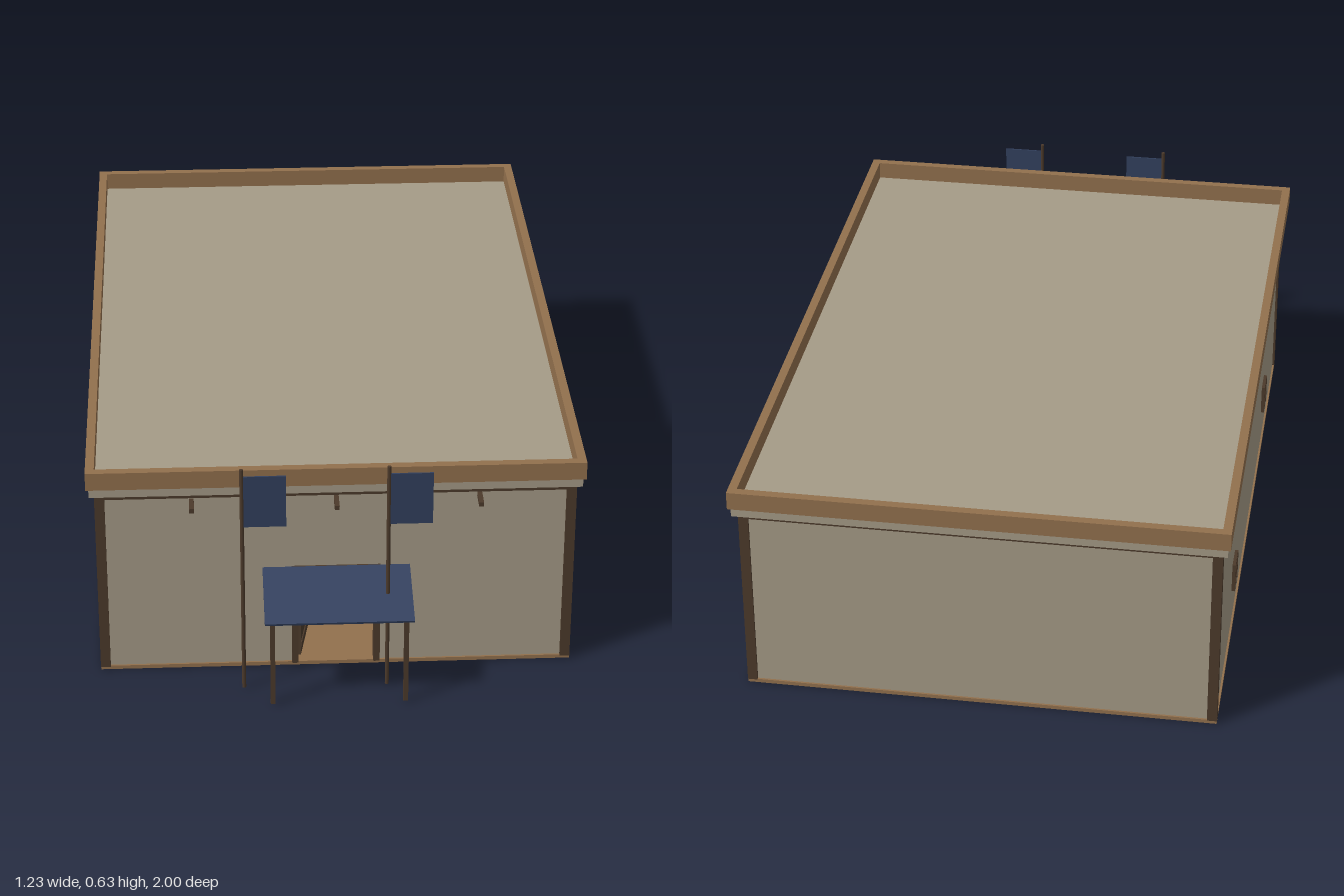
import * as THREE from 'three';

const mat = (name, color) => {
  const m = new THREE.MeshStandardMaterial({ color });
  m.name = name;
  return m;
};

export function createModel() {
  const stone = mat('stone', 0xa59b87);
  const wood = mat('wood', 0x92704d);
  const dark = mat('dark timber', 0x4c3a2b);
  const blue = mat('blue cloth', 0x32405e);

  const root = new THREE.Group();
  root.name = 'hall';

  // Box given by its minimum and maximum corners
  const box = (name, m, x0, x1, y0, y1, z0, z1, parent = root) => {
    const mesh = new THREE.Mesh(new THREE.BoxGeometry(x1 - x0, y1 - y0, z1 - z0), m);
    mesh.position.set((x0 + x1) / 2, (y0 + y1) / 2, (z0 + z1) / 2);
    mesh.name = name;
    parent.add(mesh);
    return mesh;
  };

  // Rectangular ring of four bars, outer half width hx, from z0 to z1
  const ring = (name, m, hx, y0, y1, z0, z1, t) => {
    const g = new THREE.Group();
    g.name = name;
    box(name + 'Front', m, -hx, hx, y0, y1, z1 - t, z1, g);
    box(name + 'Back', m, -hx, hx, y0, y1, z0, z0 + t, g);
    for (const s of [-1, 1]) {
      const c = s * (hx - t / 2);
      box(name + 'Side', m, c - t / 2, c + t / 2, y0, y1, z0 + t, z1 - t, g);
    }
    root.add(g);
  };

  // Floor slab and walls
  box('floorSlab', wood, -0.595, 0.595, 0, 0.01, -0.975, 0.807);
  for (const s of [-1, 1]) {
    box('sideWall', stone, s * 0.58 - 0.01, s * 0.58 + 0.01, 0.01, 0.51, -0.97, 0.802);
  }
  box('backWall', stone, -0.57, 0.57, 0.01, 0.51, -0.97, -0.95);

  // Front wall with the doorway cut out
  const wall = new THREE.Shape([[-0.57, 0.01], [-0.1, 0.01], [-0.1, 0.27], [0.1, 0.27],
    [0.1, 0.01], [0.57, 0.01], [0.57, 0.51], [-0.57, 0.51]].map(p => new THREE.Vector2(...p)));
  const front = new THREE.Mesh(new THREE.ExtrudeGeometry(wall, { depth: 0.02, bevelEnabled: false }), stone);
  front.position.z = 0.782;
  front.name = 'frontWall';
  root.add(front);

  // Corner posts and the trim below the roof
  for (const s of [-1, 1]) {
    for (const z of [0.797, -0.963]) {
      box('cornerPost', dark, s * 0.583 - 0.0125, s * 0.583 + 0.0125, 0.008, 0.51, z - 0.0125, z + 0.0125);
    }
  }
  ring('eavesTrim', dark, 0.595, 0.495, 0.51, -0.976, 0.808, 0.015);

  // Roof slab and parapet
  box('roofSlab', stone, -0.608, 0.608, 0.51, 0.535, -0.992, 0.822);
  ring('parapet', wood, 0.615, 0.535, 0.582, -1, 0.83, 0.022);

  // Side windows with raised bars
  for (const s of [-1, 1]) {
    for (const zc of [0.363, -0.532]) {
      const w = new THREE.Group();
      w.name = 'window';
      box('windowPane', dark, -0.002, 0.002, -0.04, 0.04, -0.036, 0.036, w);
      for (const k of [-1, 0, 1]) {
        box('uprightBar', dark, -0.006, 0.006, -0.04, 0.04, k * 0.032 - 0.004, k * 0.032 + 0.004, w);
        box('crossBar', dark, -0.005, 0.005, k * 0.036 - 0.004, k * 0.036 + 0.004, -0.036, 0.036, w);
      }
      w.position.set(s * 0.593, 0.16, zc);
      root.add(w);
    }
  }

  // Door frame and inward-opened door
  for (const s of [-1, 1]) {
    box('doorJamb', dark, s * 0.103 - 0.008, s * 0.103 + 0.008, 0.01, 0.29, 0.78, 0.815);
  }
  box('doorHeader', dark, -0.095, 0.095, 0.265, 0.29, 0.78, 0.815);
  const door = new THREE.Group();
  door.name = 'door';
  box('doorLeaf', dark, 0, 0.175, 0.015, 0.262, -0.004, 0.004, door);
  for (const y of [0.04, 0.22]) box('doorBrace', dark, 0, 0.17, y, y + 0.014, -0.007, 0.007, door);
  door.position.set(-0.092, 0, 0.785);
  door.rotation.y = 1.4;
  root.add(door);

  // Sloped canopy on two posts
  const slope = Math.atan2(0.05, 0.187);
  const canopy = new THREE.Mesh(new THREE.BoxGeometry(0.368, 0.006, 0.193), blue);
  canopy.position.set(0, 0.267, 0.906);
  canopy.rotation.x = slope;
  canopy.name = 'canopy';
  root.add(canopy);
  for (const s of [-1, 1]) {
    box('canopyPost', dark, s * 0.165 - 0.006, s * 0.165 + 0.006, 0.003, 0.243, 0.976, 0.988);
  }

  // Banner poles with hanging cloth
  for (const x of [-0.235, 0.123]) {
    const pole = new THREE.Mesh(new THREE.CylinderGeometry(0.005, 0.005, 0.625, 8), dark);
    pole.position.set(x, 0.3155, 0.907);
    pole.name = 'bannerPole';
    root.add(pole);
    box('banner', blue, x + 0.004, x + 0.108, 0.468, 0.608, 0.905, 0.909);
  }

  // Beam ends above the entrance
  for (const x of [-0.357, 0, 0.355]) {
    box('beamEnd', dark, x - 0.006, x + 0.006, 0.479, 0.491, 0.8, 0.855);
  }

  // Stepped platform and high seat at the far end
  box('lowerStep', wood, -0.25, 0.25, 0.01, 0.035, -0.94, -0.55);
  box('upperStep', wood, -0.2, 0.2, 0.035, 0.055, -0.94, -0.62);
  box('seatBack', dark, -0.057, 0.057, 0.055, 0.25, -0.86, -0.845);
  box('seatBase', dark, -0.057, 0.057, 0.055, 0.104, -0.845, -0.75);
  box('seatCushion', blue, -0.048, 0.048, 0.104, 0.111, -0.845, -0.752);
  for (const s of [-1, 1]) {
    box('armRest', dark, s * 0.055 - 0.006, s * 0.055 + 0.006, 0.12, 0.133, -0.845, -0.75);
  }
  return root;
}
